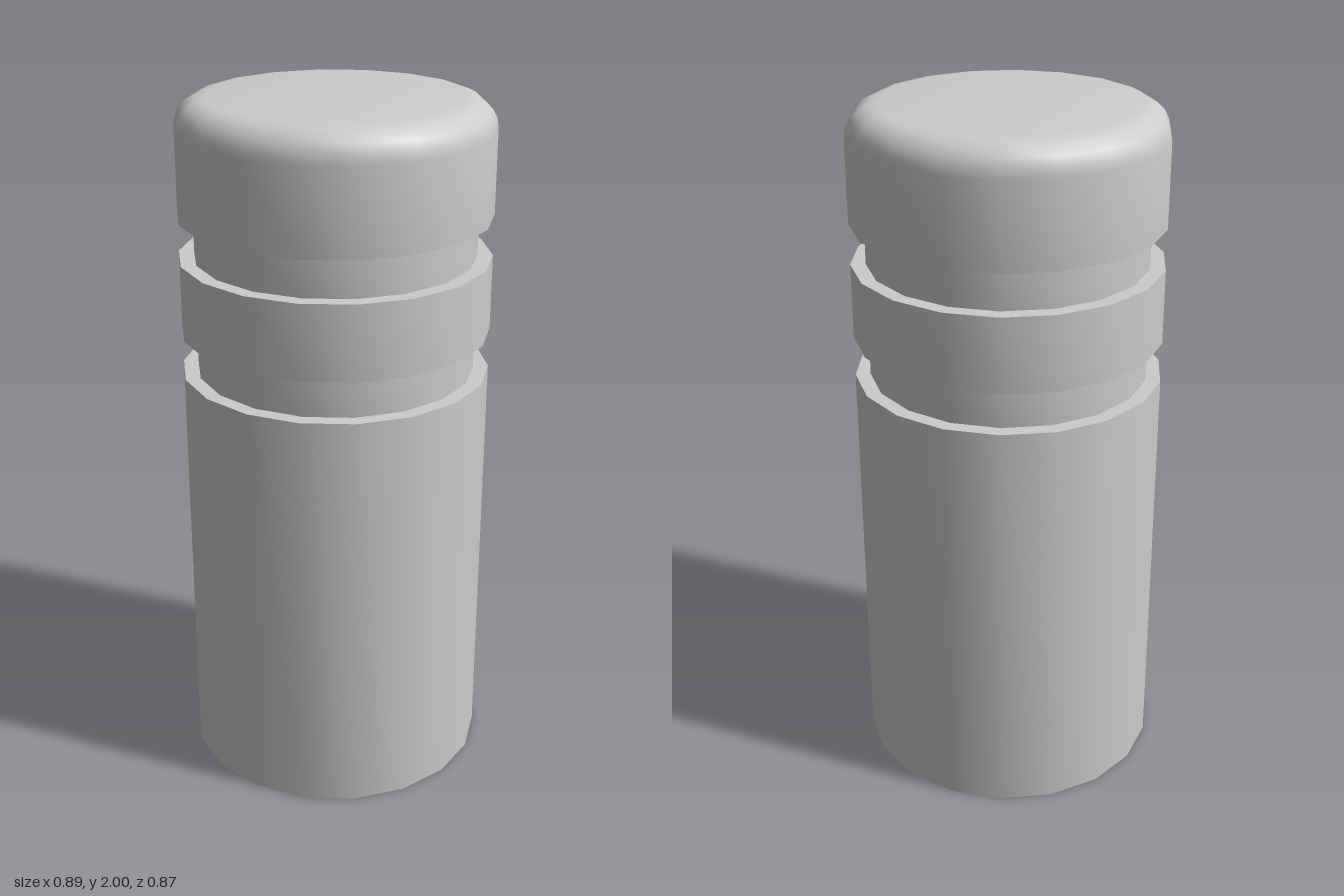
import * as THREE from 'three';
import { toCreasedNormals } from 'three/addons/utils/BufferGeometryUtils.js';

const SIDES = 18;
const R = 0.443;        // outer radius
const R_GROOVE = 0.4;   // radius inside the grooves
const BEVEL = 0.085;    // rounding of the cap's top edge

export function createModel() {
  const group = new THREE.Group();
  const material = new THREE.MeshStandardMaterial({ color: 0xcccccc });

  // Turns a [radius, height] profile, listed from bottom to top, into a named part
  function turned(name, profile) {
    const points = profile.map(([r, y]) => new THREE.Vector2(r, y));
    const lathe = new THREE.LatheGeometry(points, SIDES, Math.PI / 2);
    const mesh = new THREE.Mesh(toCreasedNormals(lathe, 0.7), material);
    mesh.name = name;
    group.add(mesh);
  }

  // Main barrel with closed base and a ledge at the top
  turned('barrel', [[0, 0], [R, 0], [R, 1.223], [R_GROOVE, 1.223]]);

  // Recessed grooves below and above the collar
  turned('lowerGroove', [[R_GROOVE, 1.223], [R_GROOVE, 1.34]]);
  turned('upperGroove', [[R_GROOVE, 1.557], [R_GROOVE, 1.674]]);

  // Raised collar between the grooves
  turned('collar', [[R_GROOVE, 1.34], [R, 1.34], [R, 1.557], [R_GROOVE, 1.557]]);

  // Cap with a rounded upper edge
  const cap = [[R_GROOVE, 1.674], [R, 1.674]];
  const steps = 5;
  for (let i = 0; i <= steps; i++) {
    const a = (i / steps) * Math.PI / 2;
    cap.push([R - BEVEL + BEVEL * Math.cos(a), 2 - BEVEL + BEVEL * Math.sin(a)]);
  }
  cap.push([0, 2]);
  turned('cap', cap);

  return group;
}
